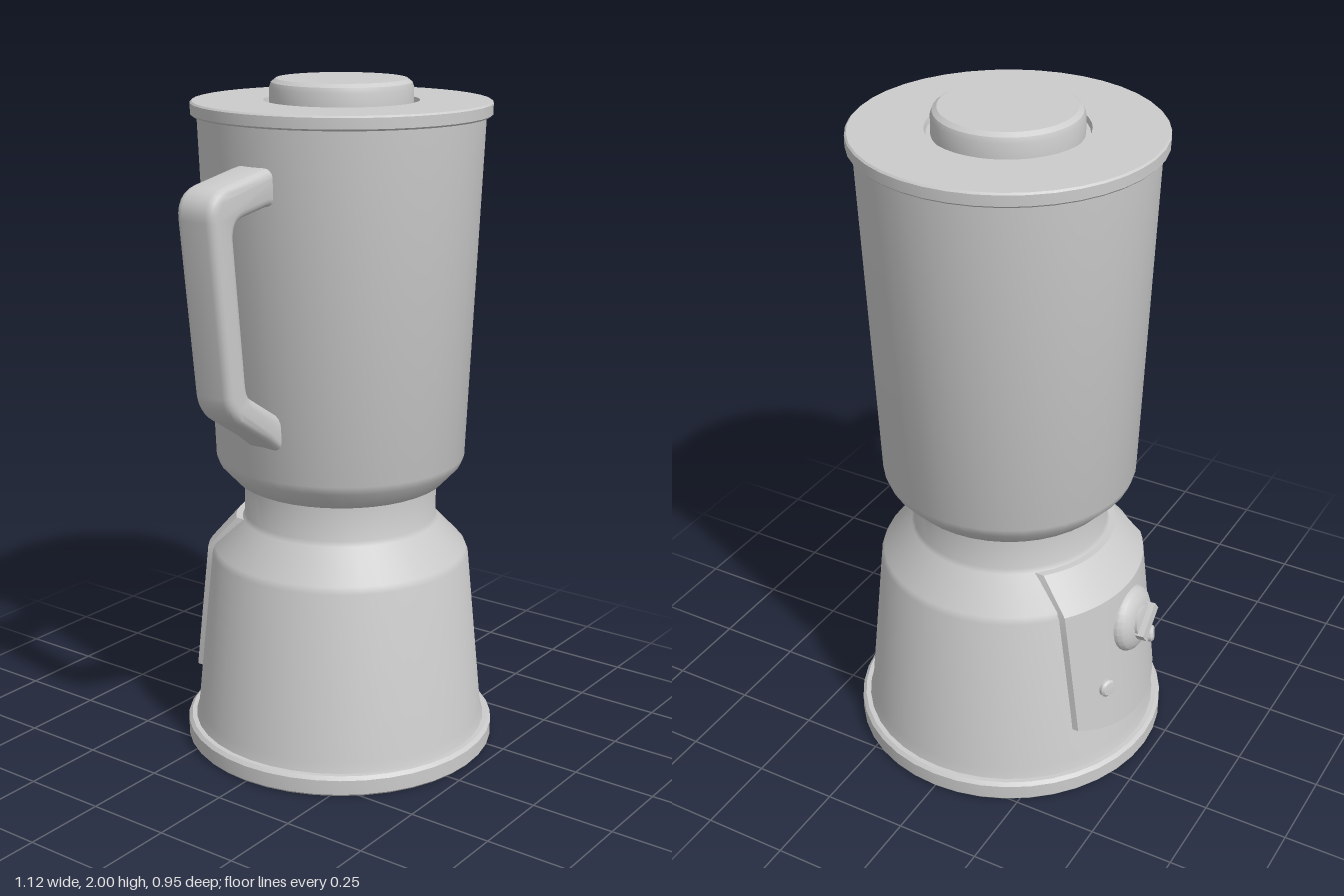
import * as THREE from 'three';
import { toCreasedNormals } from 'three/addons/utils/BufferGeometryUtils.js';

const material = new THREE.MeshStandardMaterial({ color: 0xcccccc });

function part(name, geometry, crease = 0.5) {
  const mesh = new THREE.Mesh(toCreasedNormals(geometry, crease), material);
  mesh.name = name;
  return mesh;
}

// Turned part from [radius, height] pairs, bottom to top
function turned(name, profile, segments = 40) {
  return part(name, new THREE.LatheGeometry(profile.map(([r, y]) => new THREE.Vector2(r, y)), segments));
}

// Outer radius of the motor housing at a height
const { lerp, mapLinear } = THREE.MathUtils;
const housingRadius = (y) => (y < 0.6 ? mapLinear(y, 0.06, 0.6, 0.44, 0.385) : mapLinear(y, 0.6, 0.71, 0.385, 0.29));

// Curved plate that hugs the housing; its outer ring of vertices is sunk to form the edges
function panelGeometry() {
  const cols = 20, rows = 8;
  const geometry = new THREE.PlaneGeometry(1, 1, cols, rows);
  const pos = geometry.attributes.position;
  for (let i = 0; i < pos.count; i++) {
    const c = i % (cols + 1), r = Math.floor(i / (cols + 1));
    const rim = c === 0 || c === cols || r === 0 || r === rows;
    const u = THREE.MathUtils.clamp(mapLinear(c, 1, cols - 1, -1, 1), -1, 1);
    const bottom = 0.15 + 0.05 * u * u;
    const row = THREE.MathUtils.clamp(r, 1, rows - 1);
    const y = row === 1 ? 0.7 : lerp(0.6, bottom, (row - 2) / (rows - 3));
    const x = u * (row === 1 ? 0.215 : 0.247);
    const radius = housingRadius(y) + 0.016;
    pos.setXYZ(i, x, y, Math.sqrt(radius * radius - x * x) - (rim ? 0.05 : 0));
  }
  geometry.computeVertexNormals();
  return geometry;
}

// Handle outline with rounded corners, extruded and bevelled
function handleGeometry() {
  const b = 0.025;
  const s = new THREE.Shape();
  s.moveTo(-0.27, 1.775);
  s.lineTo(-0.34, 1.765);
  s.lineTo(-0.49, 1.74);
  s.quadraticCurveTo(-0.542, 1.73, -0.535, 1.68);
  s.lineTo(-0.478, 1.2);
  s.quadraticCurveTo(-0.472, 1.155, -0.43, 1.13);
  s.lineTo(-0.32, 1.06);
  s.lineTo(-0.24, 0.99);
  s.lineTo(-0.24, 1.03);
  s.lineTo(-0.3, 1.085);
  s.lineTo(-0.41, 1.155);
  s.quadraticCurveTo(-0.443, 1.175, -0.447, 1.22);
  s.lineTo(-0.49, 1.62);
  s.quadraticCurveTo(-0.494, 1.69, -0.43, 1.7);
  s.lineTo(-0.33, 1.715);
  s.lineTo(-0.27, 1.715);
  const geometry = new THREE.ExtrudeGeometry(s, {
    depth: 0.08, bevelThickness: b, bevelSize: b, bevelSegments: 4, curveSegments: 6,
  });
  return geometry.translate(0, 0, -0.04);
}

export function createModel() {
  const model = new THREE.Group();
  model.name = 'blender';

  // Everything turned shares one upright axis
  const body = new THREE.Group();
  body.name = 'body';
  body.position.x = 0.09;
  model.add(body);

  body.add(
    turned('foot', [[0, 0], [0.465, 0], [0.47, 0.006], [0.47, 0.05], [0.46, 0.06], [0.42, 0.06]]),
    turned('housing', [[0.447, 0.055], [0.437, 0.09], [0.388, 0.59], [0.38, 0.61], [0.295, 0.7], [0.288, 0.715], [0.288, 0.83]]),
    turned('jar', [[0, 0.82], [0.3, 0.82], [0.312, 0.826], [0.362, 0.88], [0.371, 0.905], [0.412, 1.905]]),
    turned('lid', [[0, 1.9], [0.425, 1.9], [0.43, 1.905], [0.43, 1.935], [0.425, 1.94], [0.222, 1.94], [0.218, 1.925], [0, 1.925]]),
    turned('cap', [[0.205, 1.92], [0.205, 1.975], [0.2, 1.99], [0.187, 2], [0, 2]]),
  );

  model.add(part('handle', handleGeometry(), 0.7));

  // Controls are built facing +z, then turned to the back
  const controls = new THREE.Group();
  controls.name = 'controls';
  controls.rotation.y = Math.PI;
  body.add(controls);
  controls.add(part('controlPanel', panelGeometry()));

  // Knob, leaning with the housing wall, with a slanted grip bar
  const knob = new THREE.Group();
  knob.name = 'knob';
  knob.position.set(0, 0.47, 0.395);
  knob.rotation.x = Math.PI / 2 - 0.1;
  knob.add(turned('knobDome', [[0.1, -0.01], [0.1, 0.018], [0.093, 0.032], [0.075, 0.045], [0.052, 0.052], [0.052, 0.06], [0, 0.06]], 28));
  const grip = part('knobGrip', new THREE.BoxGeometry(0.11, 0.03, 0.032));
  grip.position.y = 0.064;
  grip.rotation.y = 0.6;
  knob.add(grip);
  controls.add(knob);

  // Two push buttons below the knob
  for (const side of [-1, 1]) {
    const button = turned('button', [[0.027, -0.02], [0.027, 0.012], [0.021, 0.019], [0, 0.021]], 18);
    const x = side * 0.145, y = 0.31, radius = housingRadius(y) + 0.012;
    button.position.set(x, y, Math.sqrt(radius * radius - x * x));
    button.quaternion.setFromUnitVectors(
      new THREE.Vector3(0, 1, 0),
      new THREE.Vector3(x, 0.04, button.position.z).normalize(),
    );
    controls.add(button);
  }
  return model;
}
